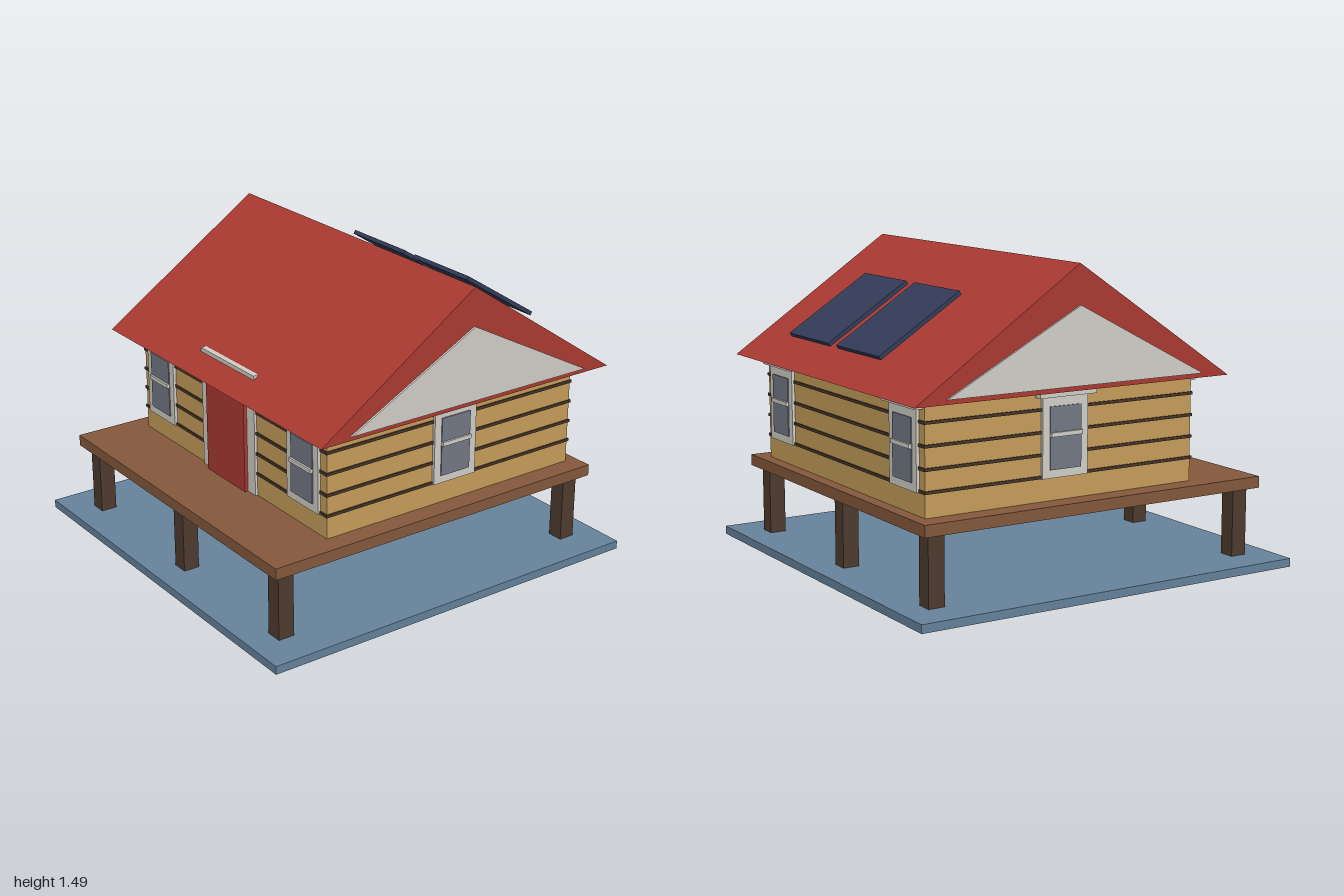
import * as THREE from 'three';

const mat = (name, color) => {
  const m = new THREE.MeshStandardMaterial({ color });
  m.name = name;
  return m;
};

export function createModel() {
  const water = mat('waterBlue', 0x66839c);
  const post = mat('darkTimber', 0x4e3b2f);
  const deckWood = mat('deckBrown', 0x85593c);
  const wall = mat('logTan', 0xc79e5b);
  const seam = mat('seamBrown', 0x47352a);
  const red = mat('roofRed', 0xac3a32);
  const trim = mat('trimOffWhite', 0xd3d0c9);
  const glass = mat('glassGrey', 0x747986);
  const panel = mat('panelNavy', 0x333c5a);

  const model = new THREE.Group();
  model.name = 'stiltCabin';

  const box = (name, material, w, h, d, x, y, z, parent = model) => {
    const mesh = new THREE.Mesh(new THREE.BoxGeometry(w, h, d), material);
    mesh.name = name;
    mesh.position.set(x, y, z);
    parent.add(mesh);
    return mesh;
  };

  // Triangular prism running along x, given half depth, base height, peak height
  const prism = (name, material, length, half, y0, y1, x, z) => {
    const s = new THREE.Shape();
    s.moveTo(-half, y0);
    s.lineTo(half, y0);
    s.lineTo(0, y1);
    s.closePath();
    const g = new THREE.ExtrudeGeometry(s, { depth: length, bevelEnabled: false });
    g.translate(0, 0, -length / 2).rotateY(Math.PI / 2);
    const mesh = new THREE.Mesh(g, material);
    mesh.name = name;
    mesh.position.set(x, 0, z);
    model.add(mesh);
  };

  // Base, stilts and deck
  box('waterBase', water, 2, 0.04, 2, 0, 0.02, 0);
  for (const x of [-0.787, 0, 0.787])
    for (const z of [-0.827, 0.827]) box('stilt', post, 0.08, 0.33, 0.08, x, 0.205, z);
  box('deck', deckWood, 1.74, 0.055, 1.815, 0, 0.3955, 0);

  // Cabin walls with the seams between logs
  const cz = -0.14, halfX = 0.77, halfZ = 0.708;
  box('walls', wall, halfX * 2, 0.508, halfZ * 2, 0, 0.677, cz);
  for (const y of [0.535, 0.635, 0.736, 0.838])
    box('logSeam', seam, halfX * 2 + 0.012, 0.014, halfZ * 2 + 0.012, 0, y, cz);

  // Roof and gable boards
  prism('roof', red, 1.784, 0.825, 0.93, 1.487, 0, cz);
  for (const s of [-1, 1]) prism('gable', trim, 0.02, 0.672, 0.952, 1.305, s * 0.892, cz);

  // Door and its surround, whose head rises through the roof slope
  box('doorFrame', trim, 0.444, 0.596, 0.028, 0, 0.722, 0.567);
  box('door', red, 0.32, 0.487, 0.03, 0, 0.6675, 0.583);

  // Windows: built facing +z, origin on the wall surface
  const addWindow = (x, z, turn) => {
    const g = new THREE.Group();
    g.name = 'window';
    box('frame', trim, 0.24, 0.37, 0.03, 0, 0.713, 0, g);
    box('pane', glass, 0.165, 0.285, 0.008, 0, 0.708, 0.016, g);
    box('glazingBar', trim, 0.165, 0.02, 0.02, 0, 0.725, 0.02, g);
    box('lintel', trim, 0.3, 0.035, 0.05, 0, 0.912, 0.015, g);
    g.position.set(x, 0, z);
    g.rotation.y = turn;
    model.add(g);
  };
  for (const s of [-1, 1]) {
    addWindow(s * 0.603, cz + halfZ, 0);
    addWindow(s * 0.603, cz - halfZ, Math.PI);
    addWindow(s * halfX, cz, (s * Math.PI) / 2);
  }

  // Tilted solar panels above the back slope
  for (const x of [-0.242, 0.242])
    box('solarPanel', panel, 0.404, 0.02, 0.485, x, 1.205, -0.678).rotation.x = -0.57;

  return model;
}
